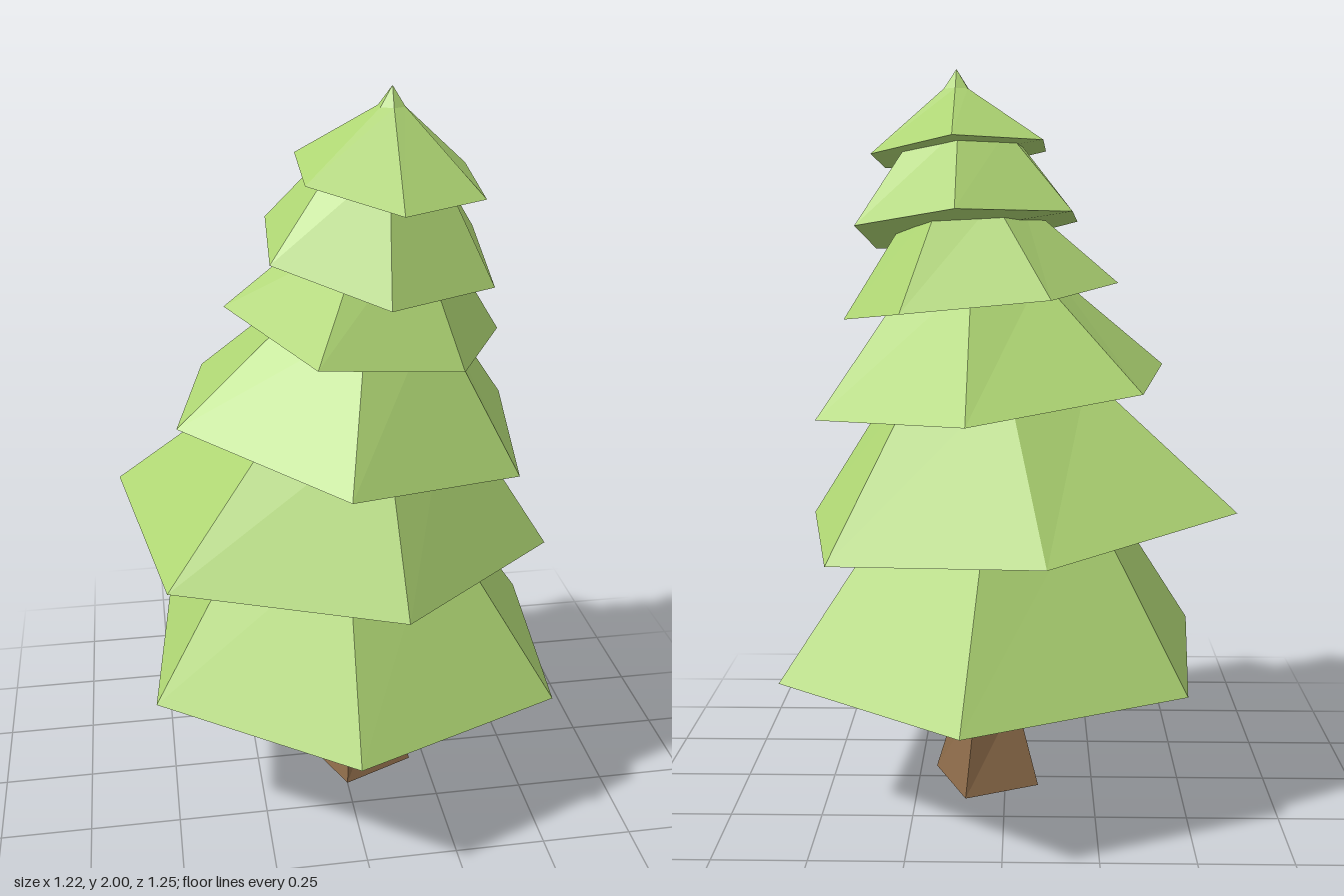
import * as THREE from 'three';

// Closed, flat-shaded solid through stacked rings of [x, y, z] corners,
// each ring listed counter-clockwise as seen from above.
function loft(name, rings, material) {
  const pos = [];
  const tri = (a, b, c) => pos.push(...a, ...b, ...c);
  const n = rings[0].length;
  const middle = (ring) => [0, 1, 2].map((k) => ring.reduce((s, p) => s + p[k], 0) / n);
  const bottom = rings[0], top = rings[rings.length - 1];
  const low = middle(bottom), high = middle(top);
  for (let i = 0; i < n; i++) {
    const j = (i + 1) % n;
    for (let r = 0; r < rings.length - 1; r++) {
      const a = rings[r], b = rings[r + 1];
      tri(a[i], a[j], b[j]);
      tri(a[i], b[j], b[i]);
    }
    tri(low, bottom[j], bottom[i]);
    tri(high, top[i], top[j]);
  }
  const geometry = new THREE.BufferGeometry();
  geometry.setAttribute('position', new THREE.Float32BufferAttribute(pos, 3));
  geometry.computeVertexNormals();
  const mesh = new THREE.Mesh(geometry, material);
  mesh.name = name;
  return mesh;
}

// Shrinks a rim around its own middle to a level ring at height y, centred on (cx, cz).
function shrink(rim, scale, y, cx, cz) {
  const mx = rim.reduce((s, p) => s + p[0], 0) / rim.length;
  const mz = rim.reduce((s, p) => s + p[2], 0) / rim.length;
  return rim.map(([x, , z]) => [cx + (x - mx) * scale, y, cz + (z - mz) * scale]);
}

export function createModel() {
  const group = new THREE.Group();
  group.name = 'pineTree';
  const leaf = new THREE.MeshStandardMaterial({ color: 0xaed573, flatShading: true });
  const bark = new THREE.MeshStandardMaterial({ color: 0x8e6c4a, flatShading: true });

  // Bent four-sided trunk
  group.add(loft('trunk', [
    [[0, 0, 0.16], [0.205, 0, 0.07], [0.11, 0, -0.145], [-0.095, 0, -0.055]],
    [[0.02, 0.24, 0.095], [0.135, 0.24, 0.015], [0.085, 0.24, -0.075], [-0.03, 0.24, 0]],
    [[0, 0.42, 0.06], [0.12, 0.42, -0.005], [0.055, 0.42, -0.11], [-0.065, 0.42, -0.045]],
  ], bark));

  // Tilted six-sided skirts of branches, lowest first; top = scale, y, x, z
  const tiers = [
    { rim: [[-0.04, 0.4, 0.625], [0.54, 0.385, 0.37], [0.605, 0.385, -0.26],
      [0.1, 0.39, -0.63], [-0.48, 0.4, -0.375], [-0.545, 0.405, 0.26]], top: [0.46, 0.88, 0.01, 0] },
    { rim: [[0.09, 0.78, 0.56], [0.56, 0.757, 0.15], [0.44, 0.775, -0.47],
      [-0.11, 0.79, -0.545], [-0.61, 0.86, -0.25], [-0.5, 0.81, 0.37]], top: [0.43, 1.2, 0.03, 0.01] },
    { rim: [[-0.05, 1.105, 0.52], [0.42, 1.055, 0.33], [0.5, 1.09, -0.18],
      [0.09, 1.125, -0.47], [-0.355, 1.18, -0.295], [-0.45, 1.19, 0.2]], top: [0.4, 1.46, 0.06, 0.04] },
    { rim: [[-0.11, 1.39, 0.37], [0.265, 1.35, 0.325], [0.44, 1.34, -0.02],
      [0.26, 1.385, -0.325], [-0.12, 1.42, -0.32], [-0.305, 1.44, -0.015]], top: [0.38, 1.66, 0.1, 0.03] },
    { rim: [[0.075, 1.52, 0.34], [0.37, 1.52, 0.185], [0.39, 1.597, -0.14],
      [0.12, 1.645, -0.31], [-0.175, 1.635, -0.175], [-0.2, 1.597, 0.165]], top: [0.42, 1.84, 0.11, 0.01] },
    { rim: [[0.11, 1.74, 0.305], [0.34, 1.745, 0.18], [0.35, 1.78, -0.09],
      [0.13, 1.825, -0.23], [-0.1, 1.815, -0.12], [-0.11, 1.79, 0.165]], top: [0.14, 1.95, 0.13, 0.015] },
  ];
  tiers.forEach(({ rim, top }, i) => {
    const rings = [rim, shrink(rim, ...top)];
    // The last skirt closes in a small pointed tip
    if (i === tiers.length - 1) rings.push(shrink(rim, 0.003, 2, 0.13, 0.02));
    group.add(loft(`branchTier${i + 1}`, rings, leaf));
  });
  return group;
}
